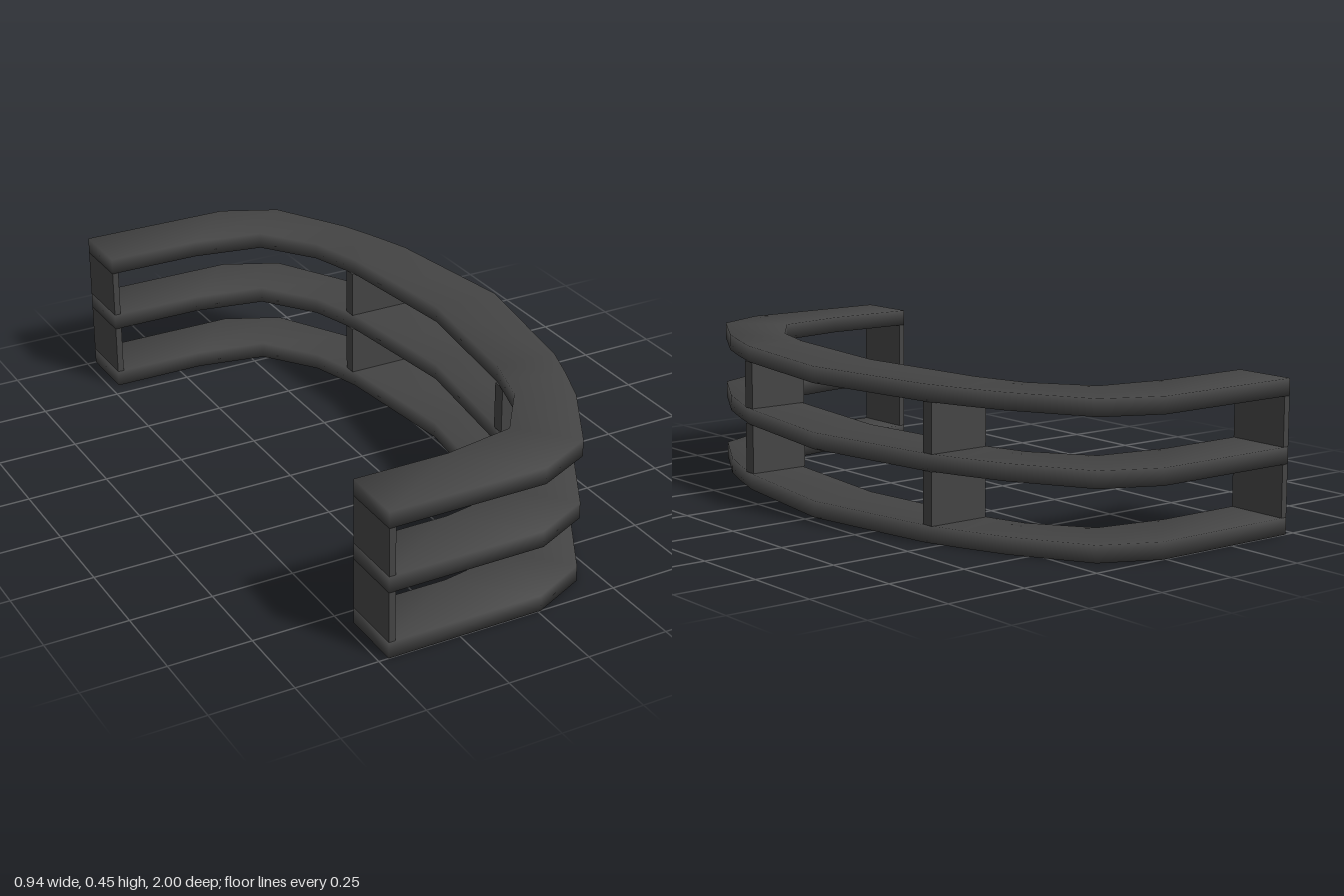
import * as THREE from 'three';

const material = new THREE.MeshStandardMaterial({ color: 0x444444 });

// Half of the curved plan: [outer x, outer z, inner x, inner z], from the end to the middle
const half = [
  [-0.47, -1, -0.47, -0.805],
  [0.01, -1, -0.18, -0.805],
  [0.18, -0.92, 0.04, -0.765],
  [0.31, -0.69, 0.16, -0.6],
  [0.36, -0.56, 0.187, -0.51],
  [0.4, -0.44, 0.21, -0.43],
  [0.467, 0, 0.26, 0],
];
const mirrored = half.slice(0, -1).reverse().map(([ox, oz, ix, iz]) => [ox, -oz, ix, -iz]);
const plan = [...half, ...mirrored];

const railHeight = 0.05;
const railLevels = [0, 0.205, 0.401];

// Rectangular section swept along the plan, with smooth shared normals
function railGeometry() {
  const positions = [];
  const index = [];
  for (const [ox, oz, ix, iz] of plan) {
    positions.push(ox, 0, oz, ox, railHeight, oz, ix, railHeight, iz, ix, 0, iz);
  }
  for (let i = 0; i < plan.length - 1; i++) {
    for (let k = 0; k < 4; k++) {
      const a = i * 4 + k;
      const b = i * 4 + ((k + 1) % 4);
      index.push(a, b, a + 4, b, b + 4, a + 4);
    }
  }
  const e = (plan.length - 1) * 4;
  index.push(0, 3, 2, 0, 2, 1, e, e + 2, e + 3, e, e + 1, e + 2);
  const geometry = new THREE.BufferGeometry();
  geometry.setAttribute('position', new THREE.Float32BufferAttribute(positions, 3));
  geometry.setIndex(index);
  geometry.computeVertexNormals();
  return geometry;
}

export function createModel() {
  const group = new THREE.Group();
  const add = (name, geometry, x, y, z) => {
    const mesh = new THREE.Mesh(geometry, material);
    mesh.name = name;
    mesh.position.set(x, y, z);
    group.add(mesh);
  };

  // Three stacked curved rails
  const rail = railGeometry();
  railLevels.forEach((y, i) => add(['bottomRail', 'middleRail', 'topRail'][i], rail, 0, y, 0));

  // Upright plates filling the gaps between rails
  for (let i = 0; i < 2; i++) {
    const bottom = railLevels[i] + railHeight;
    const height = railLevels[i + 1] - bottom;
    const y = bottom + height / 2;
    const endPlate = new THREE.BoxGeometry(0.02, height, 0.195);
    const divider = new THREE.BoxGeometry(0.193, height, 0.04);
    for (const side of [-1, 1]) {
      add('endPlate', endPlate, -0.46, y, side * 0.9025);
      add('divider', divider, 0.299, y, side * 0.453);
    }
  }
  return group;
}
